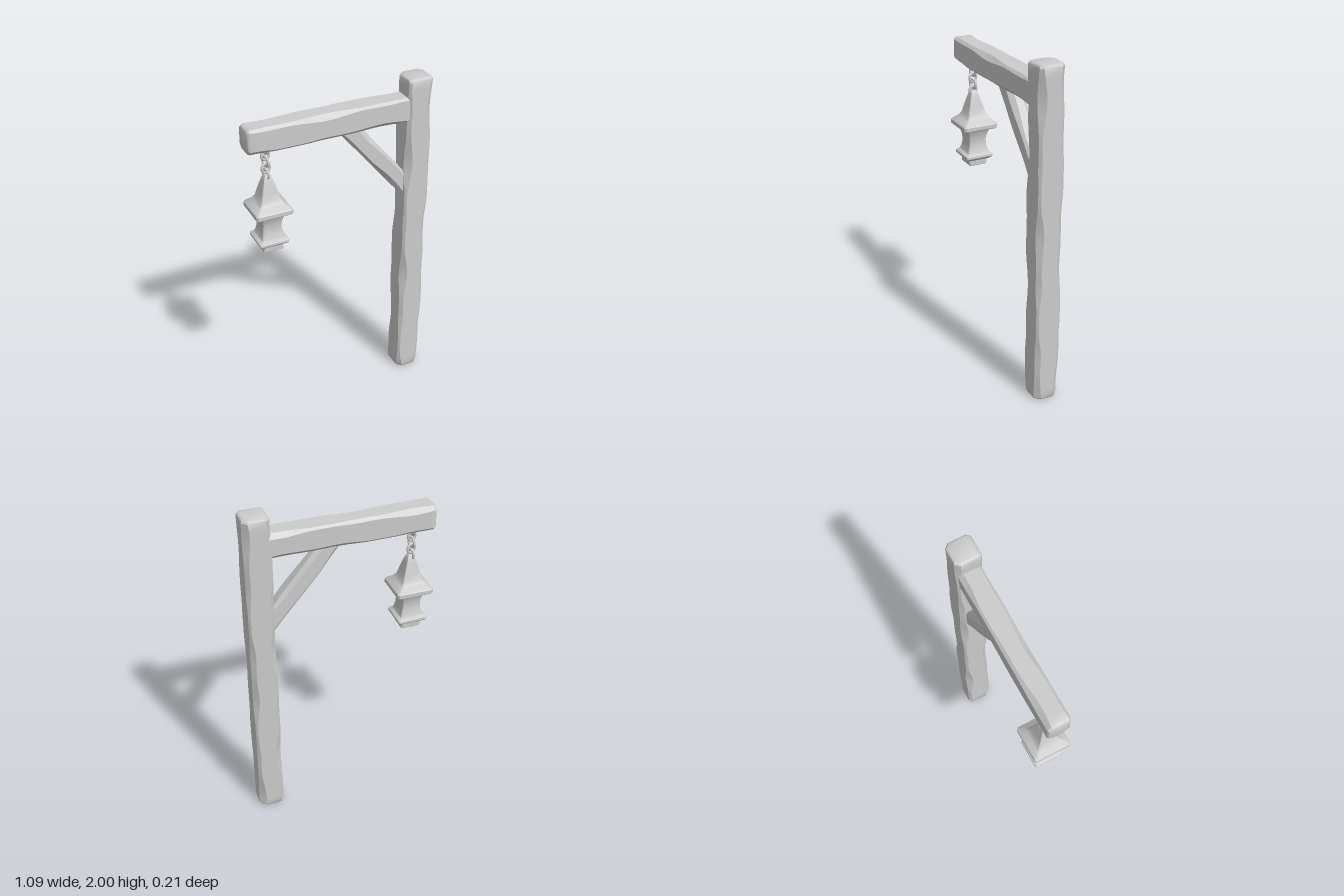
import * as THREE from 'three';
import { toCreasedNormals } from 'three/addons/utils/BufferGeometryUtils.js';

const material = new THREE.MeshStandardMaterial({ color: 0xcccccc });

function addMesh(parent, geometry, name) {
  const mesh = new THREE.Mesh(geometry, material);
  mesh.name = name;
  parent.add(mesh);
  return mesh;
}

// Lofts rectangles with cut corners along y.
// Each section: { y, w, d, cuts: four corner cuts } with half sizes w and d.
function loft(sections, crease) {
  const pos = [], index = [];
  const corners = [[1, 1], [-1, 1], [-1, -1], [1, -1]];
  for (const { y, w, d, cuts } of sections) {
    corners.forEach(([sx, sz], i) => {
      const c = cuts[i];
      const alongX = [sx * (w - c), y, sz * d];
      const alongZ = [sx * w, y, sz * (d - c)];
      pos.push(...(sx * sz > 0 ? [...alongZ, ...alongX] : [...alongX, ...alongZ]));
    });
  }
  const last = sections.length - 1;
  for (let r = 0; r < last; r++) {
    for (let i = 0; i < 8; i++) {
      const a = r * 8 + i, b = r * 8 + (i + 1) % 8;
      index.push(a, b, a + 8, b, b + 8, a + 8);
    }
  }
  for (let i = 1; i < 7; i++) {
    index.push(0, i + 1, i);
    index.push(last * 8, last * 8 + i, last * 8 + i + 1);
  }
  const g = new THREE.BufferGeometry();
  g.setAttribute('position', new THREE.Float32BufferAttribute(pos, 3));
  g.setIndex(index);
  // Sections wind from +x to +z, so flip the faces outward.
  for (let i = 0; i < index.length; i += 3) {
    const t = index[i + 1];
    index[i + 1] = index[i + 2];
    index[i + 2] = t;
  }
  g.setIndex(index);
  return toCreasedNormals(g, crease);
}

// Hand-hewn timber: flat faces, unevenly worn corners, softened ends.
function timber(length, width, depth, wear, seed) {
  const sections = [];
  const steps = Math.max(10, Math.round(length * 20));
  const bevel = 0.016;
  const cutsAt = (y) => [0, 1, 2, 3].map((i) => {
    const p = seed + i * 2.1;
    const wave = Math.sin(y * 7.3 + p) + 0.6 * Math.sin(y * 17 + p * 2.7);
    return 0.012 + wear * Math.max(0, 0.35 + wave * 0.45);
  });
  const add = (y, inset) => sections.push({
    y, w: width / 2 - inset, d: depth / 2 - inset, cuts: cutsAt(y),
  });
  add(0, bevel);
  add(bevel * 0.35, bevel * 0.35);
  for (let i = 0; i <= steps; i++) add(bevel + (length - 2 * bevel) * i / steps, 0);
  add(length - bevel * 0.35, bevel * 0.35);
  add(length, bevel);
  return loft(sections, 0.6);
}

export function createModel() {
  const model = new THREE.Group();
  model.name = 'hangingLanternPost';

  const post = addMesh(model, timber(2, 0.15, 0.15, 0.024, 0.8), 'post');
  post.position.set(0.465, 0, 0.005);

  // Crossbeam, its inner end buried in the post
  const beam = addMesh(model, timber(1, 0.145, 0.13, 0.016, 2.6), 'crossbeam');
  beam.rotation.z = -Math.PI / 2;
  beam.position.set(-0.545, 1.822, 0.005);

  // Diagonal brace, both ends buried in the timbers
  const from = new THREE.Vector3(0.39, 1.36, 0.005);
  const to = new THREE.Vector3(0.07, 1.745, 0.005);
  const dir = to.clone().sub(from).normalize();
  const brace = addMesh(model, timber(from.distanceTo(to) + 0.16, 0.105, 0.09, 0.014, 4.4), 'brace');
  brace.quaternion.setFromUnitVectors(new THREE.Vector3(0, 1, 0), dir);
  brace.position.copy(from).addScaledVector(dir, -0.09);

  // Chain of interlocked links, alternately turned
  const chain = new THREE.Group();
  chain.name = 'chain';
  chain.position.x = -0.425;
  model.add(chain);
  [1.745, 1.707, 1.668, 1.629, 1.592].forEach((y, i) => {
    const link = addMesh(chain, new THREE.TorusGeometry(0.025, 0.0075, 8, 20), 'chainLink');
    link.position.y = y;
    link.scale.y = 1.1;
    link.rotation.y = i % 2 ? 0.25 : Math.PI / 2 + 0.25;
  });

  // Square lantern: heights with half widths, from foot to peak
  const profile = [
    [1.135, 0.054], [1.139, 0.058], [1.168, 0.058], [1.172, 0.066],
    [1.186, 0.084], [1.192, 0.087], [1.203, 0.086], [1.209, 0.08],
    [1.218, 0.068], [1.24, 0.06], [1.265, 0.055], [1.29, 0.054],
    [1.315, 0.057], [1.34, 0.064], [1.362, 0.074], [1.37, 0.1],
    [1.376, 0.107], [1.398, 0.107], [1.404, 0.102], [1.43, 0.071],
    [1.452, 0.056], [1.5, 0.044], [1.55, 0.03], [1.585, 0.019], [1.592, 0.013],
  ];
  const sections = profile.map(([y, r]) => ({ y, w: r, d: r, cuts: Array(4).fill(r * 0.09) }));
  const lantern = addMesh(model, loft(sections, 0.55), 'lantern');
  lantern.position.x = -0.421;

  return model;
}
